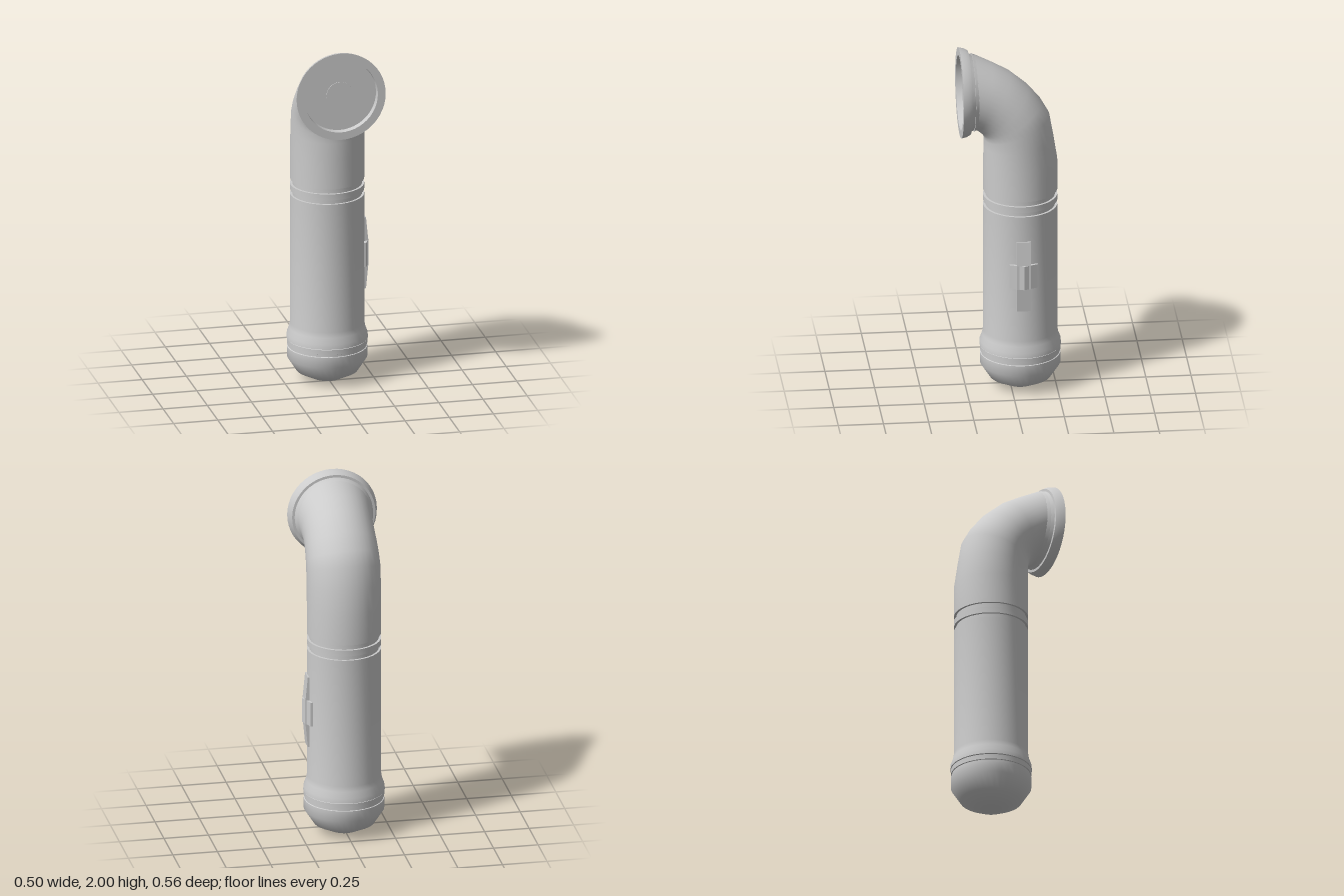
import * as THREE from 'three';
import { toCreasedNormals } from 'three/addons/utils/BufferGeometryUtils.js';

const AXIS_Z = -0.055; // axis of the upright barrel
const HEAD_Y = 1.75;   // axis of the forward-facing head
const R = 0.205;

const material = new THREE.MeshStandardMaterial({ color: 0xcccccc, side: THREE.DoubleSide });

function addMesh(group, name, geometry) {
  const mesh = new THREE.Mesh(geometry, material);
  mesh.name = name;
  group.add(mesh);
  return mesh;
}

function lathe(profile, segments = 36) {
  const points = profile.map(([r, y]) => new THREE.Vector2(r, y));
  return toCreasedNormals(new THREE.LatheGeometry(points, segments), 0.6);
}

// Skin over elliptical rings, each given by its inner and outer point [z, y] and half width
function loft(sections, n = 36) {
  const positions = [], index = [];
  sections.forEach(([inner, outer, rx], s) => {
    const cz = (inner[0] + outer[0]) / 2, cy = (inner[1] + outer[1]) / 2;
    for (let i = 0; i < n; i++) {
      const a = (i / n) * Math.PI * 2, c = Math.cos(a);
      positions.push(rx * Math.sin(a), cy + (inner[1] - cy) * c, cz + (inner[0] - cz) * c);
      if (s > 0) {
        const j = (i + 1) % n, lo = (s - 1) * n, hi = s * n;
        index.push(lo + i, lo + j, hi + i, lo + j, hi + j, hi + i);
      }
    }
  });
  const geometry = new THREE.BufferGeometry();
  geometry.setAttribute('position', new THREE.Float32BufferAttribute(positions, 3));
  geometry.setIndex(index);
  geometry.computeVertexNormals();
  return geometry;
}

function extrude(points, depth) {
  const shape = new THREE.Shape(points.map(([x, y]) => new THREE.Vector2(x, y)));
  return new THREE.ExtrudeGeometry(shape, { depth, bevelEnabled: false }).translate(0, 0, -depth / 2);
}

export function createModel() {
  const model = new THREE.Group();
  model.name = 'angledFlashlight';

  // Rounded end cap with fine grooves
  addMesh(model, 'endCap', lathe([
    [0, 0], [0.08, 0.005], [0.17, 0.05], [0.222, 0.13], [0.222, 0.19],
    [0.217, 0.192], [0.217, 0.204], [0.222, 0.206], [0.222, 0.234], [0.215, 0.236],
  ])).position.z = AXIS_Z;

  // Barrel with a flared foot and two grooves around a collar ring
  addMesh(model, 'barrel', lathe([
    [0.215, 0.236], [0.225, 0.238], [0.223, 0.265], [0.21, 0.3], [R, 0.33],
    [R, 1.077], [0.192, 1.077], [0.192, 1.102], [R, 1.102], [R, 1.137],
    [0.192, 1.137], [0.192, 1.166], [R, 1.166],
  ])).position.z = AXIS_Z;

  // Elbow bending forward into the head
  addMesh(model, 'elbow', loft([
    [[0.15, 1.166], [-0.26, 1.166], R],
    [[0.15, 1.34], [-0.26, 1.34], R],
    [[0.146, 1.43], [-0.238, 1.48], R],
    [[0.146, 1.475], [-0.215, 1.61], R],
    [[0.15, 1.495], [-0.17, 1.69], 0.203],
    [[0.157, 1.507], [-0.1, 1.775], 0.2],
    [[0.167, 1.517], [0, 1.86], 0.197],
    [[0.18, 1.53], [0.1, 1.915], 0.2],
    [[0.195, 1.542], [0.195, 1.962], 0.208],
  ]));

  // Head: neck flange, groove, flared rim and recessed lens
  const head = new THREE.Group();
  head.name = 'head';
  head.position.y = HEAD_Y;
  addMesh(head, 'rim', lathe([
    [0.207, 0.19], [0.217, 0.209], [0.208, 0.21], [0.22, 0.229], [0.234, 0.23],
    [0.245, 0.25], [0.252, 0.28], [0.208, 0.28], [0.205, 0.245],
  ], 48).rotateX(Math.PI / 2));
  addMesh(head, 'lens', new THREE.CircleGeometry(0.206, 48).translate(0, 0, 0.246));
  addMesh(head, 'bulb', new THREE.CylinderGeometry(0.075, 0.075, 0.006, 32)
    .rotateX(Math.PI / 2).translate(0, 0, 0.247));
  model.add(head);

  // Slide switch on the left side: a long track and a peaked thumb piece
  const slide = new THREE.Group();
  slide.name = 'switch';
  slide.position.set(0, 0.722, AXIS_Z);
  addMesh(slide, 'track', extrude([
    [0.19, -0.207], [0.211, -0.207], [0.224, -0.07], [0.224, 0.07], [0.211, 0.207], [0.19, 0.207],
  ], 0.078));
  addMesh(slide, 'thumbPiece', extrude([
    [0.188, -0.077], [0.203, -0.077], [0.235, 0], [0.203, 0.077], [0.188, 0.077],
  ], 0.14).rotateX(Math.PI / 2));
  model.add(slide);

  return model;
}
